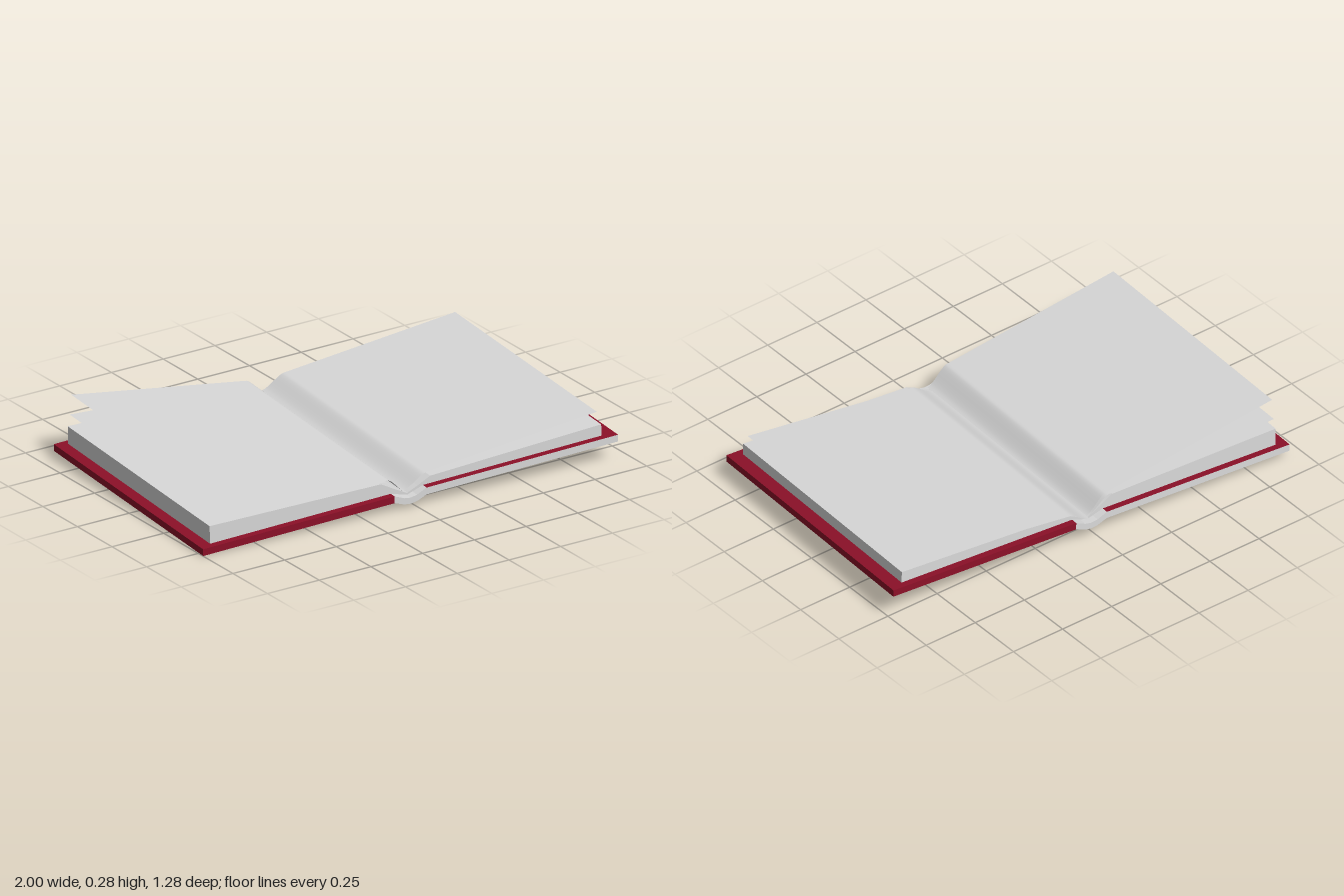
import * as THREE from 'three';

const red = new THREE.MeshStandardMaterial({ color: 0x8c1028 });
red.name = 'coverRed';
const paper = new THREE.MeshStandardMaterial({ color: 0xd8d8d8, side: THREE.DoubleSide });
paper.name = 'paperGrey';

const DEPTH = 1.175;      // cover depth
const PAGE_DEPTH = 1.116; // page depth

// Solid with a constant cross-section, extruded along z
function solid(name, points, depth) {
  const shape = new THREE.Shape(points.map(([x, y]) => new THREE.Vector2(x, y)));
  const geo = new THREE.ExtrudeGeometry(shape, { depth, bevelEnabled: false });
  geo.translate(0, 0, -depth / 2);
  const mesh = new THREE.Mesh(geo, paper);
  mesh.name = name;
  return mesh;
}

// Thin curved sheet: straight from the free edge to the hump, then curling into the gutter
function sheet(name, edge, hump, zShift) {
  const curl = new THREE.CubicBezierCurve(
    new THREE.Vector2(hump[0], hump[1]),
    new THREE.Vector2(hump[0] * 0.78, hump[1] - 0.002),
    new THREE.Vector2(hump[0] * 0.3, 0.022),
    new THREE.Vector2(0, 0.017));
  const inner = hump[0] * 1.1;
  const t = (inner - edge[0]) / (hump[0] - edge[0]);
  const path = [
    new THREE.Vector2(edge[0], edge[1]),
    new THREE.Vector2(inner, edge[1] + (hump[1] - edge[1]) * t),
    ...curl.getPoints(8),
  ];
  if (edge[0] > 0) path.reverse();
  const geo = new THREE.PlaneGeometry(1, 1, path.length - 1, 1);
  const pos = geo.attributes.position;
  for (let i = 0; i < pos.count; i++) {
    const p = path[i % path.length];
    pos.setXYZ(i, p.x, p.y, (i < path.length ? -0.5 : 0.5) * PAGE_DEPTH + zShift);
  }
  geo.computeVertexNormals();
  const mesh = new THREE.Mesh(geo, paper);
  mesh.name = name;
  return mesh;
}

export function createModel() {
  const model = new THREE.Group();
  model.name = 'openBook';
  const book = new THREE.Group();
  book.name = 'book';
  model.add(book);

  // Cover boards with a red panel underneath; the second is the first turned half round
  for (const [side, turn] of [['left', 0], ['right', Math.PI]]) {
    const cover = new THREE.Group();
    cover.name = side + 'Cover';
    cover.rotation.y = turn;
    const board = new THREE.Mesh(
      new THREE.BoxGeometry(0.895, 0.03, DEPTH),
      [red, paper, red, paper, paper, red]);
    board.name = side + 'Board';
    board.position.set(0.5225, 0.015, 0);
    const panel = new THREE.Mesh(new THREE.BoxGeometry(0.515, 0.004, 0.9), red);
    panel.name = side + 'CoverPanel';
    panel.position.set(0.525, -0.001, 0);
    cover.add(board, panel);
    book.add(cover);
  }

  // Dipped spine
  book.add(solid('spine', [
    [-0.075, 0], [-0.03, -0.018], [0, -0.022], [0.03, -0.018], [0.075, 0],
    [0.075, 0.03], [0.03, 0.01], [0, 0.005], [-0.03, 0.01], [-0.075, 0.03],
  ], DEPTH));

  // Page blocks
  book.add(solid('rightPageBlock', [
    [-0.92, 0.03], [-0.075, 0.03], [0, 0.006], [0, 0.014],
    [-0.06, 0.048], [-0.12, 0.084], [-0.92, 0.108],
  ], PAGE_DEPTH));
  book.add(solid('leftPageBlock', [
    [0.91, 0.03], [0.91, 0.08], [0.11, 0.062], [0.05, 0.034],
    [0, 0.014], [0, 0.006], [0.075, 0.03],
  ], PAGE_DEPTH));

  // Loose sheets lifting off the blocks
  book.add(sheet('rightLowerSheet', [-0.91, 0.158], [-0.1, 0.088], 0));
  book.add(sheet('rightTopSheet', [-0.905, 0.248], [-0.09, 0.096], 0.008));
  book.add(sheet('leftTopSheet', [0.905, 0.128], [0.1, 0.069], -0.023));

  // Resting pose: slightly turned and tilted
  book.rotation.set(0.028, -0.053, 0.043, 'YXZ');
  book.position.y = 0.059;
  return model;
}
